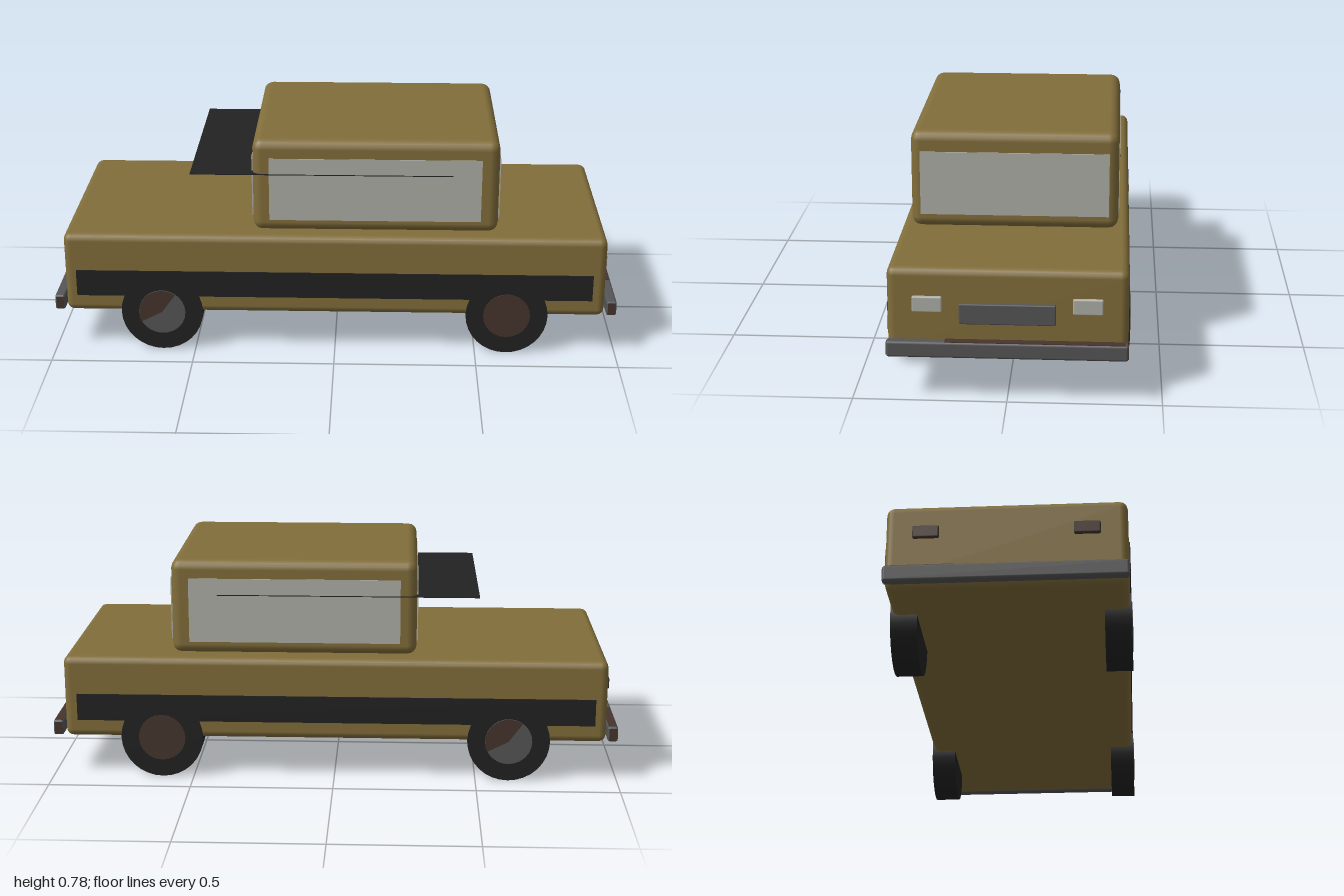
import * as THREE from 'three';
import { RoundedBoxGeometry } from 'three/addons/geometries/RoundedBoxGeometry.js';

export function createModel() {
  const car = new THREE.Group();
  car.name = 'car';
  const mat = (name, color) => {
    const m = new THREE.MeshStandardMaterial({ color });
    m.name = name;
    return m;
  };
  const paint = mat('ochre paint', 0x826e3b);
  const black = mat('black rubber', 0x222222);
  const steel = mat('grey steel', 0x565656);
  const rust = mat('dark rust', 0x46352d);
  const glass = mat('pale glass', 0xb0b0a8);

  const add = (name, geometry, material, x, y, z) => {
    const mesh = new THREE.Mesh(geometry, material);
    mesh.name = name;
    mesh.position.set(x, y, z);
    car.add(mesh);
    return mesh;
  };
  // box given by its lower and upper corners; optional rounded edges
  const block = (name, material, [x0, y0, z0], [x1, y1, z1], radius = 0) => {
    const w = x1 - x0, h = y1 - y0, d = z1 - z0;
    const g = radius ? new RoundedBoxGeometry(w, h, d, 2, radius) : new THREE.BoxGeometry(w, h, d);
    return add(name, g, material, (x0 + x1) / 2, (y0 + y1) / 2, (z0 + z1) / 2);
  };

  // body and cabin
  block('body', paint, [-0.957, 0.142, -0.388], [0.955, 0.436, 0.388], 0.026);
  block('cabin', paint, [-0.288, 0.442, -0.35], [0.572, 0.779, 0.35], 0.034);

  // flat shade plate running through the cabin and out behind it
  block('rearShade', black, [-0.505, 0.654, -0.3535], [0.41, 0.657, 0.3535]);

  // windscreen and rear window
  block('windscreen', glass, [0.57, 0.49, -0.318], [0.576, 0.709, 0.318]);
  block('rearWindow', glass, [-0.292, 0.49, -0.318], [-0.286, 0.709, 0.318]);

  for (const s of [1, -1]) {
    // side glass and side stripe
    const windowPane = new THREE.BoxGeometry(0.74, 0.228, 0.006);
    add('sideWindow', windowPane, glass, 0.14, 0.6, s * 0.3495);
    add('sideStripe', new THREE.BoxGeometry(1.826, 0.096, 0.008), black, -0.003, 0.253, s * 0.388);

    // lamps
    const lamp = (name, m, x, y, h, d) =>
      add(name, new RoundedBoxGeometry(0.018, h, d, 1, 0.005), m, x, y, s * 0.258);
    lamp('headlight', glass, 0.957, 0.317, 0.053, 0.097);
    lamp('tailLight', rust, -0.961, 0.335, 0.042, 0.085);

    // wheels with a hub disc on the outer side
    for (const x of [0.61, -0.615]) {
      const tyre = new THREE.CylinderGeometry(0.145, 0.145, 0.088, 32).rotateX(Math.PI / 2);
      add('tyre', tyre, black, x, 0.145, s * 0.349);
      const hub = new THREE.CylinderGeometry(0.083, 0.083, 0.088, 24).rotateX(Math.PI / 2);
      add('hub', hub, x > 0 ? rust : steel, x, 0.145, s * 0.352);
      if (x < 0) {
        // weathered part of the rear hub
        const patch = new THREE.CircleGeometry(0.082, 16, Math.PI * 0.3, Math.PI * 0.85);
        if (s < 0) patch.rotateY(Math.PI);
        add('hubRust', patch, rust, x, 0.145, s * 0.3968);
      }
    }
  }

  // grille
  block('grille', steel, [0.95, 0.253, -0.155], [0.969, 0.322, 0.155], 0.004);

  // bumpers, with rust plates over part of the top and the ends
  for (const s of [1, -1]) {
    const x = s * 0.98;
    add('bumper', new RoundedBoxGeometry(0.036, 0.054, 0.776, 2, 0.008), steel, x, 0.174, 0);
    const rustEnd = s > 0 ? 0.2 : -0.16;
    const len = rustEnd + 0.38;
    add('bumperTopRust', new THREE.BoxGeometry(0.028, 0.004, len), rust, x, 0.2, -0.38 + len / 2);
    for (const e of [1, -1]) {
      add('bumperEndRust', new THREE.BoxGeometry(0.026, 0.042, 0.004), rust, x, 0.174, e * 0.387);
    }
  }
  return car;
}
